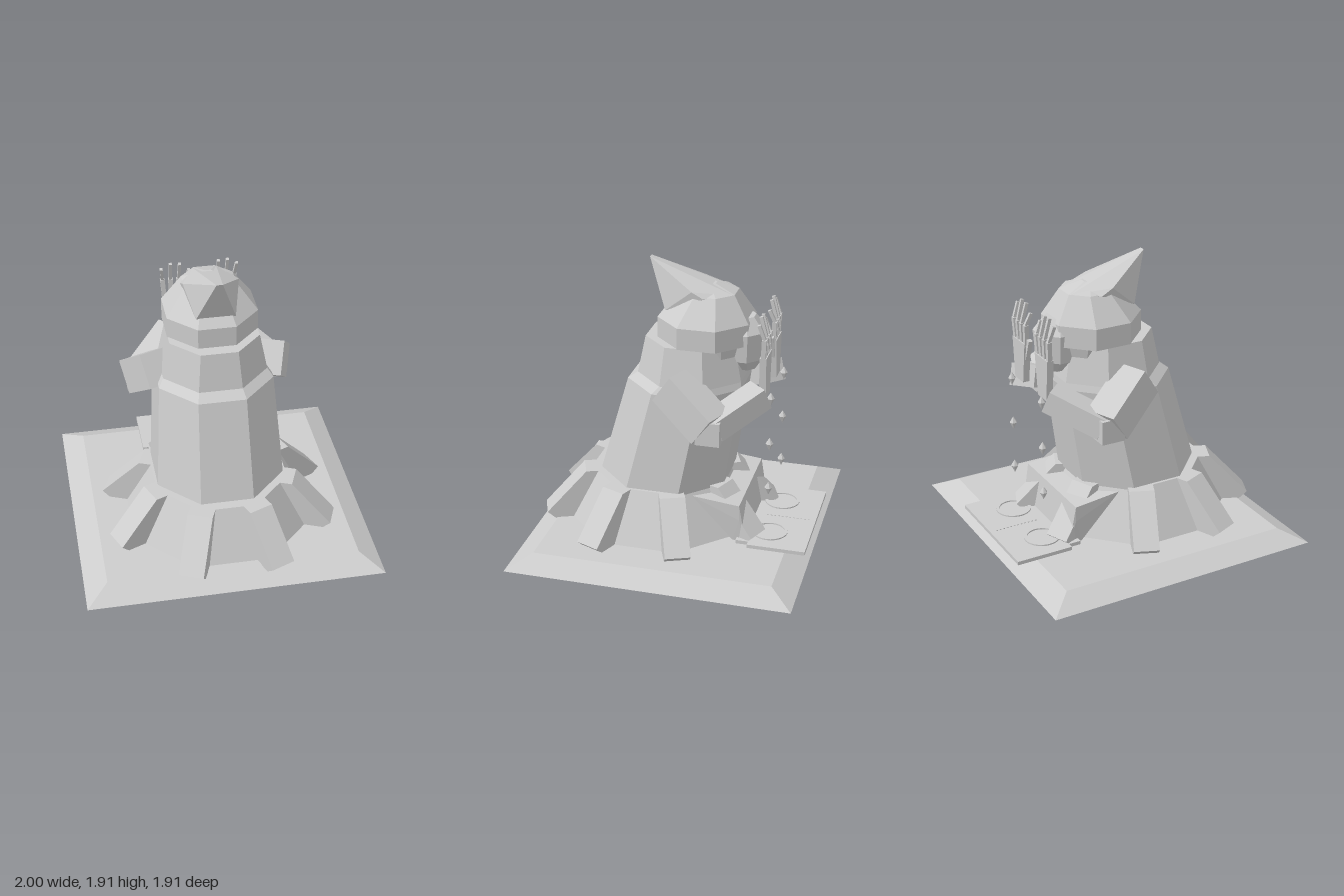
import * as THREE from 'three';
import { ConvexGeometry } from 'three/addons/geometries/ConvexGeometry.js';

const stone = new THREE.MeshStandardMaterial({ color: 0xcccccc, flatShading: true });
stone.name = 'pale stone';
const V = (x, y, z) => new THREE.Vector3(x, y, z);

export function createModel() {
  const model = new THREE.Group();
  model.name = 'weepingStatue';

  const add = (name, geometry, x = 0, y = 0, z = 0) => {
    const mesh = new THREE.Mesh(geometry, stone);
    mesh.name = name;
    mesh.position.set(x, y, z);
    model.add(mesh);
    return mesh;
  };

  // Octagonal loft with flat sides to the front; rings are [y, apothem, centre z]
  const loft = (name, rings) => {
    const first = rings[0], last = rings[rings.length - 1];
    const all = [[first[0], 0, first[2]], ...rings, [last[0], 0, last[2]]];
    const g = new THREE.LatheGeometry(
      all.map(([y, a]) => new THREE.Vector2(a / Math.cos(Math.PI / 8), y)), 8, Math.PI / 8);
    const p = g.attributes.position;
    for (let i = 0; i < p.count; i++) p.setZ(i, p.getZ(i) + all[i % all.length][2]);
    return add(name, g);
  };

  // Solid from points mirrored across x = 0
  const mirroredHull = (name, pts) =>
    add(name, new ConvexGeometry(pts.flatMap(([x, y, z]) => [V(x, y, z), V(-x, y, z)])));

  // Box running from a to b, with its width kept horizontal
  const limb = (name, a, b, width, depth) => {
    const d = b.clone().sub(a), len = d.length();
    d.normalize();
    const side = V(-d.z, 0, d.x);
    if (side.length() < 0.3 || name === 'finger') side.set(1, 0, 0).addScaledVector(d, -d.x);
    side.normalize();
    const up = V(0, 0, 0).crossVectors(side, d);
    const mesh = add(name, new THREE.BoxGeometry(width, len, depth));
    mesh.quaternion.setFromRotationMatrix(new THREE.Matrix4().makeBasis(side, d, up));
    mesh.position.copy(a).add(b).multiplyScalar(0.5);
  };

  // Plinth
  mirroredHull('plinth', [-1, 1].flatMap(s => [[1, 0, 0.955 * s], [0.85, 0.08, 0.8 * s]]));

  // Skirt and its eight buttresses
  loft('skirt', [[0.07, 0.62, 0.15], [0.42, 0.45, 0.15]]);
  const profile = new THREE.Shape(
    [[0.4, 0.42], [0.535, 0.42], [0.81, 0.125], [0.75, 0.07], [0.5, 0.07]]
      .map(([r, y]) => new THREE.Vector2(r, y)));
  for (let i = 0; i < 8; i++) {
    const g = new THREE.ExtrudeGeometry(profile, { depth: 0.17, bevelEnabled: false });
    g.translate(0, 0, -0.085);
    add('buttress', g, 0, 0, 0.15).rotation.y = Math.PI / 8 + i * Math.PI / 4;
  }

  // Leaning robe, shoulders and hood
  loft('robe', [[0.4, 0.433, 0.105], [1.1, 0.385, -0.045], [1.145, 0.35, -0.075], [1.4, 0.3, -0.075]]);
  loft('hood', [[1.395, 0.303, -0.16], [1.54, 0.303, -0.16], [1.715, 0.172, -0.185], [1.765, 0.05, -0.17]]);
  loft('hoodChin', [[1.26, 0.2, -0.22], [1.4, 0.24, -0.21]]);
  mirroredHull('hoodPeak', [
    [0.02, 1.91, 0.22], [0.02, 1.9, 0.2], [0.13, 1.59, 0.09],
    [0.185, 1.75, -0.1], [0.19, 1.71, -0.18], [0.08, 1.715, -0.35],
  ]);

  // Bowed face
  loft('face', [[1.2, 0.07, -0.42], [1.28, 0.14, -0.4], [1.47, 0.155, -0.4], [1.565, 0.09, -0.39]]);

  // Overhanging block behind the skirt
  mirroredHull('block', [[0.36, 0.38, -0.15], [0.36, 0.345, -0.475], [0.36, 0.24, -0.475], [0.35, 0.08, -0.43], [0.35, 0.08, -0.52]]);

  // Slab with two rings that catch the tears
  add('slab', new THREE.BoxGeometry(0.86, 0.025, 0.39), 0, 0.0925, -0.74);
  add('slabStep', new THREE.BoxGeometry(0.78, 0.025, 0.1), 0, 0.0925, -0.51);
  for (let i = 0; i < 12; i++) {
    add('slabStud', new THREE.BoxGeometry(0.006, 0.006, 0.012), 0, 0.107, -0.6 - i * 0.026);
  }

  for (const s of [-1, 1]) {
    // Ring
    const ring = new THREE.Shape().absarc(0, 0, 0.12, 0, Math.PI * 2);
    ring.holes.push(new THREE.Path().absarc(0, 0, 0.1, 0, Math.PI * 2));
    const rg = new THREE.ExtrudeGeometry(ring, { depth: 0.01, bevelEnabled: false, curveSegments: 14 });
    rg.rotateX(-Math.PI / 2);
    add('tearRing', rg, 0.22 * s, 0.104, -0.66);

    // Arm
    limb('upperArm', V(0.36 * s, 1.18, -0.01), V(0.47 * s, 0.955, -0.3), 0.22, 0.235);
    add('elbow', new THREE.BoxGeometry(0.18, 0.16, 0.16), 0.465 * s, 0.94, -0.3);
    limb('forearm', V(0.46 * s, 0.95, -0.31), V(0.2 * s, 1.1, -0.57), 0.17, 0.15);

    // Hand
    const palm = [];
    for (const z of [-0.565, -0.61]) {
      for (const e of [-1, 1]) palm.push(V((0.17 + 0.06 * e) * s, 1.09, z), V((0.165 + 0.09 * e) * s, 1.37, z));
    }
    add('palm', new ConvexGeometry(palm));
    [[-1, 1.58], [-0.33, 1.63], [0.33, 1.635], [1, 1.6]].forEach(([k, top]) => {
      const base = V((0.165 + 0.073 * k) * s, 1.35, -0.588);
      const joint = V((0.165 + 0.085 * k) * s, 1.5, -0.595);
      const tip = V((0.165 + 0.095 * k) * s, top, -0.56);
      limb('finger', base, joint, 0.03, 0.03);
      limb('finger', joint, tip, 0.02, 0.022);
    });
    limb('finger', V(0.1 * s, 1.25, -0.585), V(0.055 * s, 1.4, -0.58), 0.03, 0.03);

    // Falling tears
    for (const y of [1.08, 0.755, 0.43]) {
      const tear = new THREE.LatheGeometry(
        [[0, -0.045], [0.026, 0.008], [0, 0.05]].map(([r, h]) => new THREE.Vector2(r, h)), 6);
      add('tear', tear, 0.22 * s, y, -0.64);
    }
  }
  return model;
}
